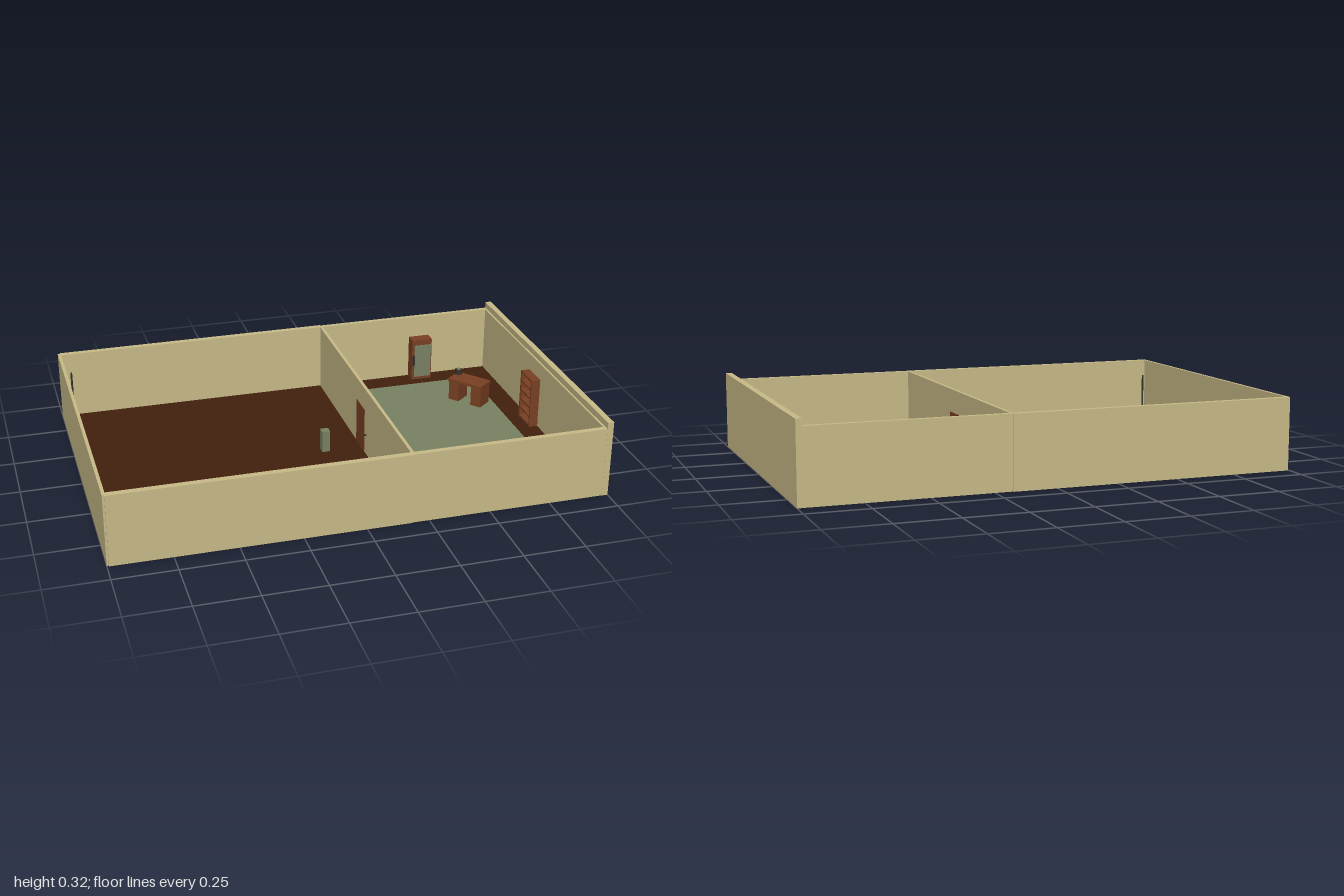
import * as THREE from 'three';

const mat = (name, color) => {
  const m = new THREE.MeshStandardMaterial({ color });
  m.name = name;
  return m;
};

export function createModel() {
  const model = new THREE.Group();
  model.name = 'twoRoomHouse';
  const wall = mat('sandWall', 0xc9bb88);
  const dark = mat('darkWoodFloor', 0x42210e);
  const wood = mat('redWood', 0x7a4023);
  const sage = mat('sageGreen', 0x7a8264);
  const metal = mat('darkMetal', 0x33342c);

  // box given by its minimum and maximum corners
  const box = (name, material, x0, x1, y0, y1, z0, z1, parent = model) => {
    const mesh = new THREE.Mesh(new THREE.BoxGeometry(x1 - x0, y1 - y0, z1 - z0), material);
    mesh.position.set((x0 + x1) / 2, (y0 + y1) / 2, (z0 + z1) / 2);
    mesh.name = name;
    parent.add(mesh);
    return mesh;
  };
  const cylinder = (name, material, r, h, x, y, z, parent = model) => {
    const mesh = new THREE.Mesh(new THREE.CylinderGeometry(r, r, h, 12), material);
    mesh.position.set(x, y + h / 2, z);
    mesh.name = name;
    parent.add(mesh);
    return mesh;
  };
  const group = (name, x, z, turn = 0) => {
    const g = new THREE.Group();
    g.name = name;
    g.position.set(x, 0, z);
    g.rotation.y = turn;
    model.add(g);
    return g;
  };

  // floor, slightly above the foot of the walls
  box('floor', dark, -0.99, 0.98, 0.003, 0.007, -0.637, 0.637);

  // outer walls and partition
  const H = 0.295;
  box('backWallLargeRoom', wall, -0.992, 0.18, 0, H, -0.66, -0.635);
  box('backWallSmallRoom', wall, 0.18, 0.977, 0, H, -0.655, -0.635);
  box('frontWallLargeRoom', wall, -0.992, 0.18, 0, H, 0.632, 0.658);
  box('frontWallSmallRoom', wall, 0.18, 0.977, 0, H, 0.632, 0.655);
  box('leftEndWall', wall, -1, -0.987, 0, H, -0.652, 0.652);
  box('rightEndWall', wall, 0.975, 1, 0, 0.322, -0.656, 0.656);
  box('rightInnerLining', wall, 0.967, 0.976, 0, H, -0.635, 0.632);
  box('partition', wall, 0.174, 0.187, 0, H, -0.636, 0.633);

  // door through the partition, with a knob on each side
  box('door', wood, 0.172, 0.189, 0.001, 0.2, -0.062, 0.048);
  for (const x of [0.167, 0.194]) {
    const knob = new THREE.Mesh(new THREE.SphereGeometry(0.005, 10, 8), metal);
    knob.position.set(x, 0.1, 0.08);
    knob.name = 'doorKnob';
    model.add(knob);
  }

  // rug with rounded corners
  const x0 = 0.305, x1 = 0.87, z0 = -0.53, z1 = 0.52, r = 0.015;
  const s = new THREE.Shape();
  s.moveTo(x0 + r, -z1);
  s.lineTo(x1 - r, -z1);
  s.quadraticCurveTo(x1, -z1, x1, -z1 + r);
  s.lineTo(x1, -z0 - r);
  s.quadraticCurveTo(x1, -z0, x1 - r, -z0);
  s.lineTo(x0 + r, -z0);
  s.quadraticCurveTo(x0, -z0, x0, -z0 - r);
  s.lineTo(x0, -z1 + r);
  s.quadraticCurveTo(x0, -z1, x0 + r, -z1);
  const rug = new THREE.Mesh(
    new THREE.ExtrudeGeometry(s, { depth: 0.009, bevelEnabled: false, curveSegments: 5 }), sage);
  rug.rotation.x = -Math.PI / 2;
  rug.position.y = 0.001;
  rug.name = 'rug';
  model.add(rug);

  // desk with two pedestals and a small cup lamp
  const desk = group('desk', 0.77, -0.298, -0.89);
  box('deskTop', wood, -0.084, 0.084, 0.1, 0.112, -0.044, 0.044, desk);
  for (const side of [-1, 1]) {
    const p = box('deskPedestal', wood, -0.025, 0.025, 0, 0.1, -0.038, 0.038, desk);
    p.position.x = side * 0.056;
  }
  cylinder('deskLampBody', metal, 0.016, 0.022, 0.745, 0.112, -0.37);
  cylinder('deskLampTop', sage, 0.009, 0.005, 0.745, 0.133, -0.37);

  // open bookcase on the right wall, facing the room
  const shelf = group('bookcase', 0.95, -0.038);
  box('bookcaseBack', wood, 0.013, 0.019, 0.001, 0.225, -0.058, 0.058, shelf);
  for (const z of [-0.055, 0.055])
    box('bookcaseSide', wood, -0.022, 0.018, 0.001, 0.225, z - 0.004, z + 0.004, shelf);
  for (let i = 0; i < 6; i++) {
    const y = 0.008 + i * 0.0418;
    box('bookcaseShelf', wood, -0.022, 0.018, y, y + 0.008, -0.055, 0.055, shelf);
  }

  // cupboard against the back wall
  box('cupboard', wood, 0.597, 0.69, 0.001, 0.2, -0.634, -0.582);
  box('cupboardDoor', sage, 0.608, 0.686, 0.02, 0.175, -0.584, -0.579);
  box('cupboardHandle', metal, 0.6, 0.606, 0.08, 0.13, -0.582, -0.568);

  // free-standing plinth in the large room
  box('plinth', sage, 0.003, 0.037, 0.001, 0.1, -0.027, 0.007);

  // slim floor stands in the two far corners
  for (const side of [-1, 1]) {
    const stand = group('cornerStand', -0.955, side * 0.586, side * 0.5);
    box('standBase', sage, -0.011, 0.011, 0.001, 0.018, -0.011, 0.011, stand);
    cylinder('standPole', metal, 0.004, 0.215, 0, 0.015, 0, stand);
  }
  return model;
}
